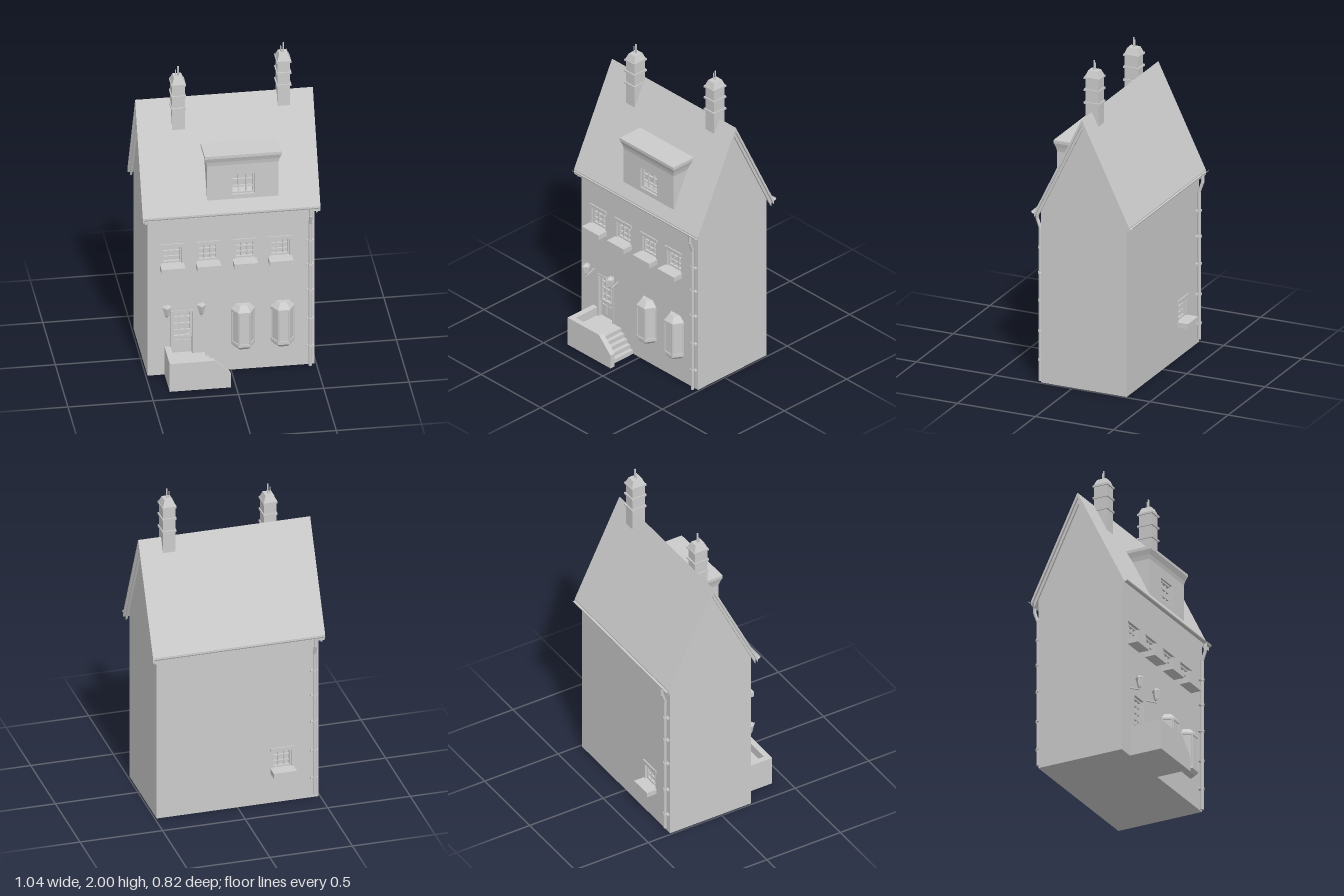
import * as THREE from 'three';

const flat = new THREE.MeshStandardMaterial({ color: 0xcccccc, flatShading: true });
const smooth = new THREE.MeshStandardMaterial({ color: 0xcccccc });
const thin = new THREE.MeshStandardMaterial({ color: 0xcccccc, side: THREE.DoubleSide });

const FRONT = 0.205, BACK = -0.345, RIDGE = -0.07, RECESS = 0.03;

function add(parent, name, geo, mat = flat) {
  const m = new THREE.Mesh(geo, mat);
  m.name = name;
  parent.add(m);
  return m;
}

function group(parent, name, x = 0, y = 0, z = 0) {
  const g = new THREE.Group();
  g.name = name;
  g.position.set(x, y, z);
  parent.add(g);
  return g;
}

// Box given by its limits on each axis
function box(parent, name, x0, x1, y0, y1, z0, z1) {
  return add(parent, name, new THREE.BoxGeometry(x1 - x0, y1 - y0, z1 - z0)
    .translate((x0 + x1) / 2, (y0 + y1) / 2, (z0 + z1) / 2));
}

// Box standing on y, whose top has its own width and depth
function taper(parent, name, y, h, w0, d0, w1, d1) {
  const geo = new THREE.BoxGeometry(1, h, 1).translate(0, y + h / 2, 0);
  const p = geo.attributes.position;
  for (let i = 0; i < p.count; i++) {
    const top = p.getY(i) > y + h / 2;
    p.setX(i, p.getX(i) * (top ? w1 : w0));
    p.setZ(i, p.getZ(i) * (top ? d1 : d0));
  }
  geo.computeVertexNormals();
  return add(parent, name, geo);
}

// Round bar between two points
function rod(parent, name, a, b, r, sides = 10) {
  const A = new THREE.Vector3(...a), B = new THREE.Vector3(...b), d = B.clone().sub(A);
  const m = add(parent, name, new THREE.CylinderGeometry(r, r, d.length(), sides), smooth);
  m.position.copy(A).add(B).multiplyScalar(0.5);
  m.quaternion.setFromUnitVectors(new THREE.Vector3(0, 1, 0), d.normalize());
  return m;
}

const shapeOf = pts => new THREE.Shape(pts.map(p => new THREE.Vector2(...p)));
const rect = (x0, x1, y0, y1) => [[x0, y0], [x1, y0], [x1, y1], [x0, y1]];

// Side profile of [z, y] points, swept from x0 to x1
function sweepX(parent, name, pts, x0, x1) {
  const geo = new THREE.ExtrudeGeometry(shapeOf(pts), { depth: x1 - x0, bevelEnabled: false });
  return add(parent, name, geo.rotateY(-Math.PI / 2).translate(x1, 0, 0));
}

// Wall slab with rectangular openings
function wall(parent, name, outline, openings, z) {
  const s = shapeOf(rect(...outline));
  for (const o of openings) s.holes.push(new THREE.Path(rect(...o).map(p => new THREE.Vector2(...p))));
  return add(parent, name, new THREE.ExtrudeGeometry(s, { depth: RECESS, bevelEnabled: false }).translate(0, 0, z));
}

// Frame and glazing bars inside an opening; z = 0 is the wall face
function glazing(g, w, y0, y1, cols, rows) {
  const f = 0.01, h = w / 2;
  for (const s of [-1, 1]) box(g, 'frameSide', s * (h - f / 2) - f / 2, s * (h - f / 2) + f / 2, y0, y1, -0.03, -0.012);
  box(g, 'frameTop', -h, h, y1 - f, y1, -0.03, -0.012);
  box(g, 'frameBottom', -h, h, y0, y0 + f, -0.03, -0.012);
  for (let i = 1; i < cols; i++) {
    const x = -h + w * i / cols;
    box(g, 'glazingBar', x - 0.003, x + 0.003, y0, y1, -0.03, -0.018);
  }
  for (let i = 1; i < rows; i++) {
    const y = y0 + (y1 - y0) * i / rows;
    box(g, 'glazingBar', -h, h, y - 0.003, y + 0.003, -0.03, -0.018);
  }
}

// Window with lintel and deep sill, standing on the sill's underside
function sillWindow(parent, x, y, z, turned) {
  const g = group(parent, 'window', x, y, z);
  if (turned) g.rotation.y = Math.PI;
  box(g, 'sill', -0.07, 0.07, 0, 0.032, -0.02, 0.067);
  box(g, 'lintel', -0.07, 0.07, 0.143, 0.165, -0.02, 0.007);
  glazing(g, 0.116, 0.032, 0.143, 3, 3);
}

// Hexagonal bay, half sunk into the wall
function bayWindow(parent, x) {
  const g = group(parent, 'bayWindow', x, 0, FRONT);
  const ring = (name, y0, y1, r0, r1) => add(g, name,
    new THREE.CylinderGeometry(r1, r0, y1 - y0, 6, 1, false, Math.PI / 2).translate(0, (y0 + y1) / 2, 0));
  ring('bayFoot', 0.155, 0.175, 0.05, 0.07);
  ring('bayBase', 0.175, 0.195, 0.07, 0.07);
  ring('bayPanes', 0.195, 0.39, 0.063, 0.063);
  ring('bayHead', 0.39, 0.405, 0.07, 0.07);
  ring('bayRoof', 0.405, 0.44, 0.07, 0.038);
  for (let i = 0; i <= 3; i++) {
    const a = i * Math.PI / 3, px = 0.064 * Math.cos(a), pz = 0.064 * Math.sin(a);
    rod(g, 'bayPost', [px, 0.19, pz], [px, 0.395, pz], 0.006, 6);
  }
}

function lamp(parent, x) {
  const g = group(parent, 'wallLamp', x, 0, 0.267);
  const part = (name, y0, y1, r0, r1) => add(g, name,
    new THREE.CylinderGeometry(r1, r0, y1 - y0, 4).translate(0, (y0 + y1) / 2, 0));
  part('lampFoot', 0.42, 0.432, 0.008, 0.015);
  part('lampGlass', 0.432, 0.478, 0.015, 0.025);
  part('lampRim', 0.478, 0.484, 0.029, 0.029);
  part('lampCap', 0.484, 0.498, 0.026, 0.008);
  part('lampFinial', 0.498, 0.508, 0.005, 0.002);
  rod(g, 'lampStem', [0, 0.405, 0], [0, 0.425, 0], 0.004, 6);
  rod(g, 'lampArm', [0, 0.41, 0], [0, 0.435, -0.065], 0.004, 6);
}

function chimney(parent, x, z, top) {
  const g = group(parent, 'chimney', x, top, z);
  taper(g, 'stack', -0.35, 0.31, 0.074, 0.084, 0.074, 0.084);
  for (const y of [-0.205, -0.125, -0.05]) taper(g, 'collar', y, 0.012, 0.086, 0.1, 0.086, 0.1);
  taper(g, 'cap', -0.04, 0.04, 0.08, 0.092, 0.05, 0.06);
  rod(g, 'flue', [0.003, -0.01, 0], [0.003, 0.06, 0], 0.005);
  rod(g, 'thinFlue', [-0.012, -0.01, 0], [-0.012, 0.04, 0], 0.003);
}

// Drainpipe with an offset below the gutter; s = 1 at the front, -1 at the back
function drainpipe(parent, x, face, s, foot) {
  const g = group(parent, 'drainpipe', x, 0, face);
  const pts = [[0, foot, s * 0.017], [0, 0.95, s * 0.017], [0, 1.01, s * 0.038], [0, 1.06, s * 0.038]];
  for (let i = 0; i < 3; i++) rod(g, 'pipe', pts[i], pts[i + 1], 0.01);
  for (const y of [0.13, 0.31, 0.5, 0.67, 0.83]) {
    rod(g, 'pipeCollar', [0, y - 0.007, s * 0.017], [0, y + 0.007, s * 0.017], 0.014);
    box(g, 'pipeBracket', -0.022, 0.022, y - 0.005, y + 0.005, s * 0.008 - 0.009, s * 0.008 + 0.009);
  }
}

export function createModel() {
  const house = new THREE.Group();
  house.name = 'townhouse';

  // Core with gables, faced front and back by walls with openings
  sweepX(house, 'houseCore', [[BACK + RECESS, 0], [FRONT - RECESS, 0], [FRONT - RECESS, 1.05], [FRONT, 1.05],
    [FRONT, 1.1], [RIDGE, 1.65], [BACK, 1.1], [BACK, 1.05], [BACK + RECESS, 1.05]], -0.49, 0.49);
  const windowX = [-0.347, -0.137, 0.08, 0.287];
  const hole = (x, y) => [x - 0.058, x + 0.058, y + 0.03, y + 0.145];
  wall(house, 'frontWall', [-0.49, 0.49, 0, 1.05],
    [...windowX.map(x => hole(x, 0.705)), [-0.353, -0.217, 0.13, 0.42]], FRONT - RECESS);
  wall(house, 'backWall', [-0.49, 0.49, 0, 1.05], [hole(-0.27, 0.19)], BACK);
  for (const x of windowX) sillWindow(house, x, 0.705, FRONT, false);
  sillWindow(house, -0.27, 0.19, BACK, true);

  // Roof and gable boards
  const chevron = (drop, t, e) => [[RIDGE + e, 1.69 - drop - e * 2.05], [RIDGE, 1.69 - drop], [RIDGE - e, 1.69 - drop - e * 2.05],
    [RIDGE - e, 1.69 - drop - t - e * 2.05], [RIDGE, 1.69 - drop - t], [RIDGE + e, 1.69 - drop - t - e * 2.05]];
  sweepX(house, 'roof', chevron(0, 0.03, 0.305), -0.522, 0.52);
  for (const x of [-0.508, 0.496]) sweepX(house, 'gableBoard', chevron(0.02, 0.045, 0.295), x, x + 0.012);

  // Gutters and drainpipes
  for (const z of [0.242, -0.383]) {
    const geo = new THREE.CylinderGeometry(0.013, 0.013, 1.035, 12, 1, true, Math.PI, Math.PI);
    add(house, 'gutter', geo.rotateZ(Math.PI / 2).translate(0, 1.068, z), thin);
  }
  drainpipe(house, 0.462, FRONT, 1, 0);
  drainpipe(house, -0.462, BACK, -1, 0.03);

  // Dormer with flared cornice
  const dormer = group(house, 'dormer', 0.07);
  box(dormer, 'dormerBody', -0.21, 0.21, 1.15, 1.4, 0, 0.17);
  wall(dormer, 'dormerFront', [-0.21, 0.21, 1.115, 1.4], [[-0.068, 0.068, 1.165, 1.3]], 0.17);
  glazing(group(dormer, 'dormerWindow', 0, 0, 0.2), 0.136, 1.165, 1.3, 3, 3);
  for (const [y, h, w0, w1, f0, f1] of [[1.365, 0.025, 0.42, 0.432, 0.2, 0.205], [1.39, 0.03, 0.432, 0.452, 0.205, 0.216],
    [1.42, 0.018, 0.452, 0.452, 0.217, 0.217]]) {
    taper(dormer, 'dormerCornice', y, h, w0, (f0 - 0.05) * 2, w1, (f1 - 0.05) * 2).position.z = 0.05;
  }

  chimney(house, -0.28, -0.028, 1.857);
  chimney(house, 0.344, -0.07, 1.94);

  bayWindow(house, 0.07);
  bayWindow(house, 0.302);
  lamp(house, -0.385);
  lamp(house, -0.183);

  // Front door: glazed above, two panels below
  const door = group(house, 'frontDoor', -0.285, 0, FRONT);
  for (const s of [-1, 1]) {
    box(door, 'doorJamb', s * 0.063 - 0.006, s * 0.063 + 0.006, 0.13, 0.42, -0.03, 0.004);
    box(door, 'doorPanel', s * 0.027 - 0.018, s * 0.027 + 0.018, 0.15, 0.215, -0.03, -0.014);
  }
  box(door, 'doorHead', -0.069, 0.069, 0.408, 0.42, -0.03, 0.004);
  box(door, 'doorLeaf', -0.058, 0.058, 0.13, 0.235, -0.03, -0.02);
  glazing(group(door, 'doorGlazing'), 0.114, 0.235, 0.408, 3, 4);
  rod(door, 'doorHandle', [0.047, 0.262, -0.006], [0.03, 0.262, -0.006], 0.004, 8);
  box(door, 'doorLock', 0.043, 0.051, 0.245, 0.275, -0.02, -0.005);

  // Porch with low walls and side steps
  const porch = group(house, 'porch');
  box(porch, 'landing', -0.37, -0.155, 0, 0.13, 0.2, 0.39);
  for (let i = 0; i < 4; i++) {
    box(porch, 'step', -0.16, -0.13 + i * 0.025, 0, 0.104 - i * 0.026, 0.2, 0.39);
  }
  box(porch, 'porchSideWall', -0.39, -0.355, 0, 0.185, 0.2, 0.377);
  const parapet = shapeOf([[-0.39, 0], [-0.03, 0], [-0.03, 0.088], [-0.128, 0.185], [-0.39, 0.185]]);
  add(porch, 'porchFrontWall', new THREE.ExtrudeGeometry(parapet, { depth: 0.034, bevelEnabled: false }).translate(0, 0, 0.377));

  return house;
}
